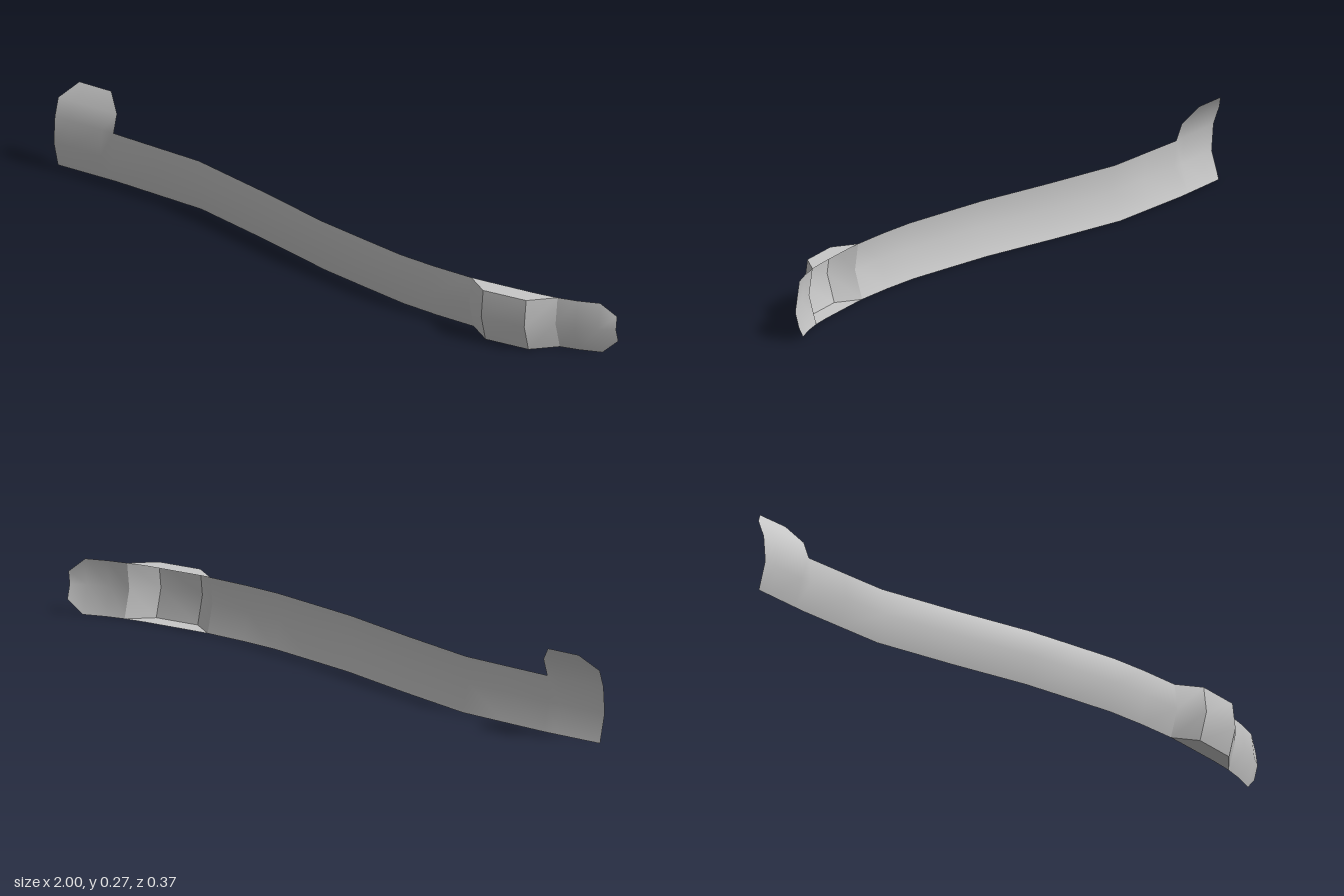
import * as THREE from 'three';
import { mergeGeometries, mergeVertices } from 'three/addons/utils/BufferGeometryUtils.js';

const TOP = 0.167, MID = 0.085;

// Surface through neighbouring cross-sections (equal-length lists of [x, y, z])
function loft(sections) {
  const n = sections[0].length, index = [];
  for (let i = 0; i < sections.length - 1; i++) {
    for (let j = 0; j < n - 1; j++) {
      const a = i * n + j, b = a + n;
      index.push(a, b, b + 1, a, b + 1, a + 1);
    }
  }
  const g = new THREE.BufferGeometry();
  g.setAttribute('position', new THREE.Float32BufferAttribute(sections.flat(2), 3));
  g.setIndex(index);
  return g;
}

// Height offset in z: the band is gently bowed, furthest forward at mid height
const bow = (x, y) => y > MID
  ? (-0.009 - 0.003 * x) * (y - MID) / (TOP - MID)
  : -0.0245 * (MID - y) / MID;

// One bowed cross-section of the band
const section = (x, z, ys = [0, MID, TOP]) => ys.map(y => [x, y, z + bow(x, y)]);

function smooth(g) {
  g = mergeVertices(g, 1e-4);
  g.computeVertexNormals();
  return g;
}

function flat(g) {
  g = g.toNonIndexed();
  g.computeVertexNormals();
  return g;
}

export function createModel() {
  const group = new THREE.Group();
  const grey = new THREE.MeshStandardMaterial({ color: 0xc8c8c8, side: THREE.DoubleSide });
  grey.name = 'grey';

  const add = (name, geometry) => {
    const mesh = new THREE.Mesh(geometry, grey);
    mesh.name = name;
    group.add(mesh);
  };

  // Long wavy strap
  const strapPath = [[-1, -0.123], [-0.95, -0.122], [-0.84, -0.12], [-0.8, -0.119], [-0.65, -0.107],
    [-0.5, -0.095], [-0.25, -0.026], [0, 0.05], [0.15, 0.083], [0.3, 0.115], [0.42, 0.128], [0.55, 0.135]];
  const strap = loft(strapPath.map(([x, z]) => section(x, z)));

  // Tab curling back above the far end, with clipped corners
  const tabTop = [-0.95, -0.92, -0.87, -0.84];
  const tab = loft(strapPath.slice(0, 4).map(([x, z], i) => [
    [x, TOP, z + bow(x, TOP)],
    [x, 0.222, z - 0.026],
    [tabTop[i], 0.27, z - 0.062],
  ]));
  add('strapWithTab', smooth(mergeGeometries([strap, tab])));

  // Raised pocket: front with two ramps, open at the back
  const pocketFront = [[0.55, 0.135], [0.62, 0.187], [0.76, 0.179], [0.83, 0.118]];
  const pocketBack = [0.135, 0.132, 0.125, 0.118];
  for (let i = 0; i < 3; i++) {
    add(['pocketLeadRamp', 'pocketFace', 'pocketEndRamp'][i],
      smooth(loft(pocketFront.slice(i, i + 2).map(([x, z]) => section(x, z)))));
  }

  // Walls closing the pocket above and below
  for (const [name, y] of [['pocketTopWall', TOP], ['pocketBottomWall', 0]]) {
    add(name, flat(loft(pocketFront.map(([x, z], i) => {
      const o = bow(x, y);
      const edge = [[x, y, z + o], [x, y, pocketBack[i] + o]];
      return y ? edge : edge.reverse();
    }))));
  }

  // Rounded tail
  add('tail', smooth(loft([
    section(0.83, 0.118),
    section(0.89, 0.106),
    section(0.955, 0.086),
    section(1, 0.06, [0.042, MID, 0.126]),
  ])));

  return group;
}
